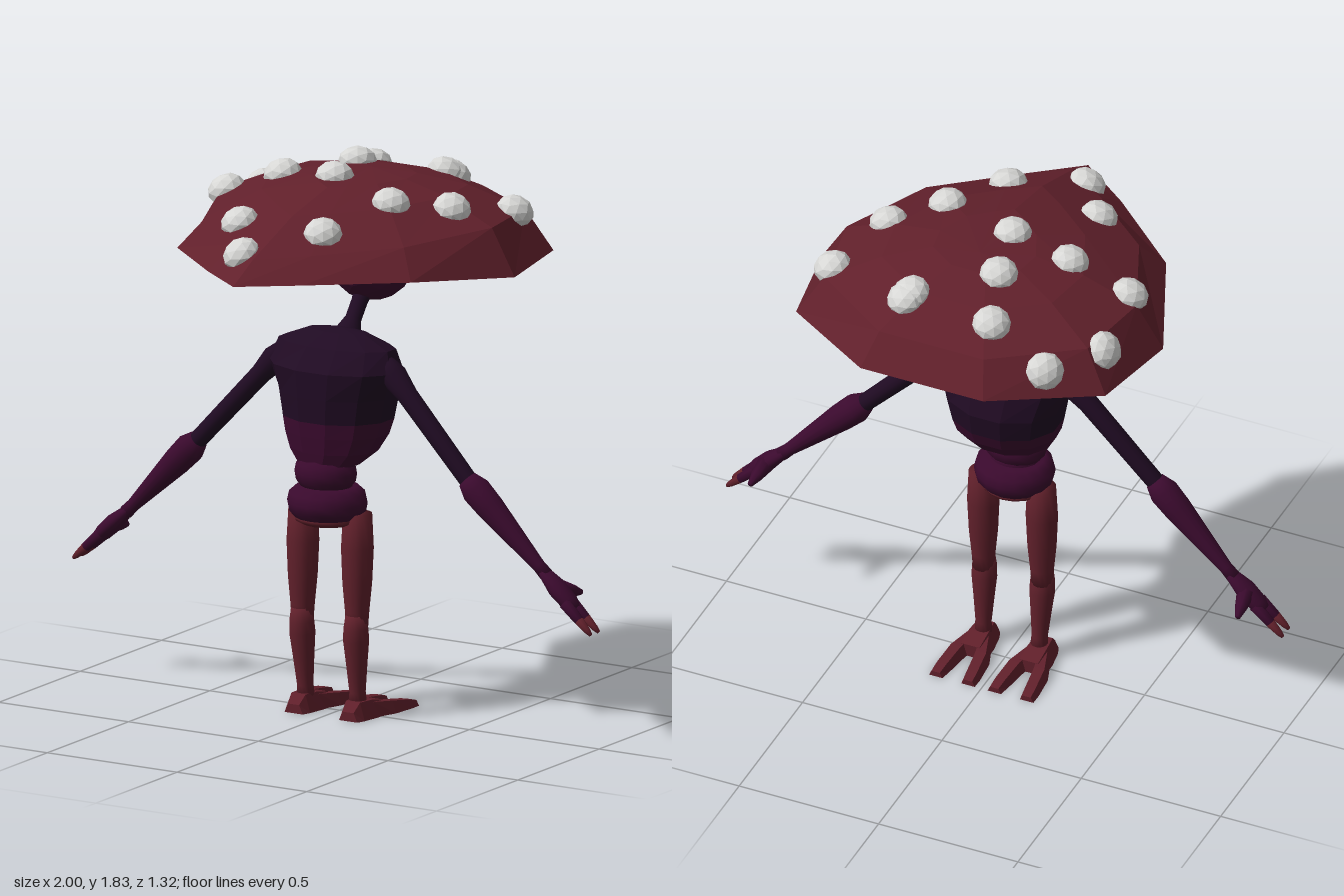
import * as THREE from 'three';

const paint = (name, color) => {
  const m = new THREE.MeshStandardMaterial({ color });
  m.name = name;
  return m;
};
const V = (x, y, z) => new THREE.Vector3(x, y, z);

// Skins a list of rings with flat faces (a ring of one point closes the end).
function loft(rings) {
  const pos = [];
  const n = Math.max(...rings.map(r => r.length));
  const put = (...ps) => ps.forEach(p => pos.push(p.x, p.y, p.z));
  for (let k = 0; k < rings.length - 1; k++) {
    const A = rings[k], B = rings[k + 1];
    for (let i = 0; i < n; i++) {
      const a0 = A[i % A.length], a1 = A[(i + 1) % n % A.length];
      const b0 = B[i % B.length], b1 = B[(i + 1) % n % B.length];
      if (a0 !== a1) put(a0, b0, a1);
      if (b0 !== b1) put(a1, b0, b1);
    }
  }
  const g = new THREE.BufferGeometry();
  g.setAttribute('position', new THREE.Float32BufferAttribute(pos, 3));
  g.computeVertexNormals();
  return g;
}

// Faceted ball
function ball(radius, detail) {
  const g = new THREE.IcosahedronGeometry(radius, detail);
  g.computeVertexNormals();
  return g;
}

// Oval ring at height y: half width, back z and front z
function oval([y, w, z0, z1], n = 12) {
  return Array.from({ length: n }, (_, i) => {
    const a = (i + 0.5) / n * Math.PI * 2;
    return V(w * Math.cos(a) * 1.03, y, (z0 + z1) / 2 + (z1 - z0) / 2 * Math.sin(a) * 1.03);
  });
}

export function createModel() {
  const red = paint('mushroom red', 0x61202b);
  const purple = paint('plum skin', 0x3b0a2e);
  const dark = paint('dark plum', 0x200b23);
  const white = paint('spot white', 0xd6d6d4);

  const model = new THREE.Group();
  model.name = 'mushroomFigure';
  const add = (name, geo, mat, parent = model) => {
    const m = new THREE.Mesh(geo, mat);
    m.name = name;
    parent.add(m);
    return m;
  };
  // Turned limb from a to b; profile holds [fraction of length, radius]
  const limb = (name, a, b, profile, mat, parent, sides = 14) => {
    const d = b.clone().sub(a), len = d.length();
    const pts = [[profile[0][0], 0], ...profile, [profile[profile.length - 1][0], 0]];
    const m = add(name, new THREE.LatheGeometry(pts.map(([t, r]) => new THREE.Vector2(r, t * len)), sides), mat, parent);
    m.position.copy(a);
    m.quaternion.setFromUnitVectors(V(0, 1, 0), d.normalize());
    return m;
  };

  // Cap: rim outline [x, y, z], shrunk towards its middle in steps
  const half = [[0.612, 1.515, -0.1], [0.45, 1.555, 0.28], [0.18, 1.56, 0.52]];
  const back = [[0.22, 1.56, -0.66], [0.555, 1.53, -0.43]];
  const flip = list => list.map(([x, y, z]) => [-x, y, z]).reverse();
  const rim = [...half, [0, 1.56, 0.655], ...flip(half), ...flip(back), ...back].map(p => V(...p));
  const mid = -0.15;
  const shrink = (s, height) => rim.map(p => {
    const z = mid + (p.z - mid) * s;
    return V(p.x * s, height === undefined ? p.y : height - 0.08 * Math.max(0, z), z);
  });
  const cap = add('cap', loft([
    [V(0, 1.575, mid)], shrink(0.52), rim, shrink(0.85, 1.668), shrink(0.55, 1.745),
    shrink(0.28, 1.78), [V(0, 1.787, mid - 0.05)],
  ]), red);

  // Spots set into the cap surface
  cap.updateMatrixWorld(true);
  const ray = new THREE.Raycaster();
  const spots = new THREE.Group();
  spots.name = 'capSpots';
  model.add(spots);
  const spotGeo = ball(0.064, 1);
  for (const [x, z] of [[-0.37, -0.5], [-0.16, -0.46], [0.14, -0.435], [0.15, -0.455], [-0.505, -0.33],
    [0.47, -0.33], [-0.1, -0.27], [-0.48, -0.07], [-0.27, -0.08], [-0.05, -0.05], [0.38, -0.085],
    [0.23, 0.05], [-0.21, 0.28], [0.13, 0.31], [-0.075, 0.485]]) {
    ray.set(V(x, 3, z), V(0, -1, 0));
    const hit = ray.intersectObject(cap)[0];
    const s = add('spot', spotGeo, white, spots);
    s.position.copy(hit.point);
    s.quaternion.setFromUnitVectors(V(0, 1, 0), hit.face.normal);
    s.scale.y = 0.78;
  }

  // Head with two angled block eyes
  add('head', ball(0.145, 2), purple).position.set(0, 1.485, -0.2);
  for (const s of [1, -1]) {
    const angle = 0.6;
    const eye = add(s > 0 ? 'leftEye' : 'rightEye', new THREE.BoxGeometry(0.11, 0.07, 0.04), white);
    eye.position.set(s * 0.13 * Math.sin(angle), 1.478, -0.2 - 0.13 * Math.cos(angle));
    eye.rotation.y = -s * angle;
  }
  limb('neck', V(0, 1.2, -0.01), V(0, 1.4, -0.16),
    [[0, 0.07], [0.3, 0.045], [0.5, 0.027], [0.75, 0.027], [1, 0.035]], dark);

  // Torso: dark chest over plum belly
  const seam = oval([1.0, 0.19, -0.155, 0.172]);
  add('chest', loft([seam, oval([1.08, 0.205, -0.165, 0.175]), oval([1.17, 0.235, -0.135, 0.175]),
    oval([1.24, 0.21, -0.09, 0.115]), oval([1.28, 0.11, -0.04, 0.05]), [V(0, 1.293, 0)]]), dark);
  add('belly', loft([[V(0, 0.85, 0.08)], oval([0.85, 0.105, -0.02, 0.155]), oval([0.895, 0.152, -0.09, 0.162]),
    oval([0.95, 0.178, -0.135, 0.168]), seam]), purple);

  // Rounded waist rolls over a red seat
  const roll = (name, y0, y1, rx, rz, z, mat) => {
    const pts = [[0, 0], [0.78, 0], [0.96, 0.25], [1, 0.5], [0.95, 0.78], [0.75, 1], [0, 1]];
    const m = add(name, new THREE.LatheGeometry(
      pts.map(([r, t]) => new THREE.Vector2(r * rx, t * (y1 - y0))), 16), mat);
    m.position.set(0, y0, z);
    m.scale.z = rz / rx;
  };
  roll('waist', 0.77, 0.87, 0.107, 0.092, 0.085, purple);
  roll('waistCore', 0.72, 0.81, 0.09, 0.08, 0.08, purple);
  roll('hips', 0.665, 0.775, 0.135, 0.128, 0.075, purple);
  roll('seat', 0.648, 0.69, 0.112, 0.105, 0.075, red);

  for (const s of [1, -1]) {
    const side = s > 0 ? 'left' : 'right';

    // Arm
    const arm = new THREE.Group();
    arm.name = side + 'Arm';
    model.add(arm);
    const shoulder = V(s * 0.2, 1.19, 0.03), elbow = V(s * 0.535, 0.835, 0.04), wrist = V(s * 0.81, 0.565, 0.02);
    limb('upperArm', shoulder, elbow, [[-0.05, 0.03], [0.08, 0.045], [0.25, 0.034], [1, 0.03]], dark, arm);
    limb('forearm', elbow, wrist, [[-0.06, 0.034], [0.06, 0.05], [0.25, 0.047], [0.9, 0.022], [1, 0.024]], purple, arm);
    limb('palm', wrist, V(s * 0.92, 0.465, 0.02), [[-0.1, 0.018], [0.4, 0.03], [0.8, 0.027], [1, 0.018]], purple, arm)
      .scale.z = 1.35;
    limb('thumb', V(s * 0.86, 0.52, 0.005), V(s * 0.875, 0.493, -0.09), [[0, 0.03], [0.6, 0.02], [1, 0.009]], purple, arm, 8);
    // Fingers with red tips
    for (const z of [-0.002, 0.046]) {
      const root = V(s * 0.895, 0.485, 0.022 + (z - 0.022) * 0.8), tip = V(s * 0.997, 0.392, z);
      const joint = root.clone().lerp(tip, 0.55);
      limb('finger', root, joint, [[0, 0.021], [1, 0.016]], purple, arm, 8);
      limb('fingertip', joint, tip, [[0, 0.016], [0.7, 0.011], [1, 0.006]], red, arm, 8);
    }

    // Leg
    const leg = new THREE.Group();
    leg.name = side + 'Leg';
    model.add(leg);
    limb('thigh', V(s * 0.105, 0.3, 0.06), V(s * 0.105, 0.69, 0.057),
      [[0, 0.036], [0.15, 0.04], [0.4, 0.049], [0.7, 0.054], [1, 0.048]], red, leg);
    limb('shin', V(s * 0.1, 0.04, 0.047), V(s * 0.105, 0.35, 0.07),
      [[0, 0.03], [0.15, 0.027], [0.45, 0.035], [0.72, 0.043], [0.85, 0.041], [1, 0.033]], red, leg);

    // Foot: a wedge heel and two splayed toes, each section [x, z, height, half width]
    const wedge = (name, zs) => {
      const end = ([x, z, h]) => [V(x, h / 2, z)];
      add(name, loft([
        end(zs[0]),
        ...zs.map(([x, z, h, w]) => [V(x + w, 0, z), V(x + w * 0.6, h, z), V(x - w * 0.6, h, z), V(x - w, 0, z)]),
        end(zs[zs.length - 1]),
      ]), red, leg);
    };
    const c = s * 0.105;
    wedge('heel', [[c, 0.115, 0.03, 0.035], [c, 0.085, 0.06, 0.045], [c, 0.02, 0.058, 0.055], [c, -0.045, 0.045, 0.055]]);
    for (const t of [1, -1])
      wedge('toe', [[c + t * 0.022, 0.02, 0.05, 0.025], [c + t * 0.045, -0.06, 0.042, 0.03],
        [c + t * 0.055, -0.15, 0.028, 0.028], [c + t * 0.058, -0.19, 0.018, 0.024]]);
  }
  return model;
}
